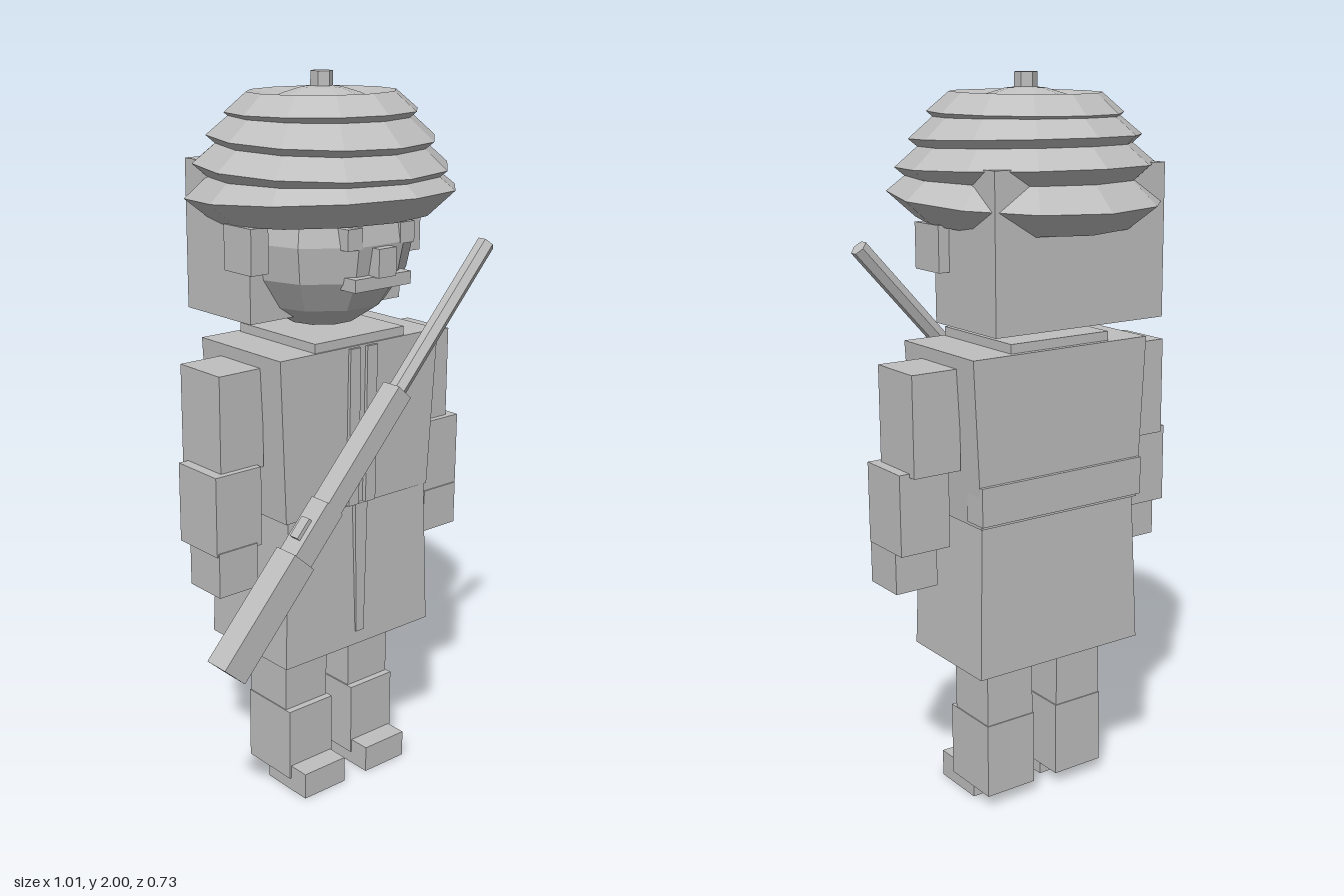
import * as THREE from 'three';

const CX = 0.065; // the body's centre line; the long gun shifts it off x = 0

export function createModel() {
  const group = new THREE.Group();
  group.name = 'soldierFigure';
  const grey = new THREE.MeshStandardMaterial({ color: 0xbfbfbf, flatShading: true });
  grey.name = 'plain grey';

  function add(name, geo, x = 0, y = 0, z = 0, parent = group) {
    const mesh = new THREE.Mesh(geo, grey);
    mesh.name = name;
    mesh.position.set(x, y, z);
    parent.add(mesh);
    return mesh;
  }
  // box from its limits; x is measured from the body's centre line
  function box(name, x0, x1, y0, y1, z0, z1, parent = group) {
    const geo = new THREE.BoxGeometry(x1 - x0, y1 - y0, z1 - z0);
    return add(name, geo, (x0 + x1) / 2, (y0 + y1) / 2, (z0 + z1) / 2, parent);
  }
  // narrows or widens the lower end of a box
  function taper(mesh, sx, sz) {
    const p = mesh.geometry.attributes.position;
    for (let i = 0; i < p.count; i++) {
      if (p.getY(i) < 0) p.setXYZ(i, p.getX(i) * sx, p.getY(i), p.getZ(i) * sz);
    }
    mesh.geometry.computeVertexNormals();
    return mesh;
  }

  const body = new THREE.Group();
  body.name = 'body';
  body.position.x = CX;
  group.add(body);

  // coat
  taper(box('coatTop', -0.28, 0.28, 0.855, 1.305, -0.165, 0.17, body), 0.92, 0.97);
  taper(box('coatSkirt', -0.25, 0.25, 0.435, 0.855, -0.15, 0.162, body), 1.06, 1.06);
  box('collar', -0.16, 0.155, 1.29, 1.33, -0.15, 0.165, body);
  box('backBelt', -0.262, 0.262, 0.865, 0.97, -0.172, -0.1, body);
  for (const s of [-1, 1]) {
    box('coatLapel', s * 0.03 - 0.018, s * 0.03 + 0.018, 0.86, 1.3, 0.15, 0.178, body);
  }
  taper(box('coatSeam', -0.022, 0.022, 0.475, 0.86, 0.15, 0.175, body), 0.65, 1);

  // limbs, mirrored about the centre line
  for (const s of [-1, 1]) {
    const side = s > 0 ? 'left' : 'right';
    const limb = (part, a, b, ...rest) =>
      box(side + part, s > 0 ? a : -b, s > 0 ? b : -a, ...rest, body);
    limb('UpperArm', 0.27, 0.41, 1.0, 1.27, -0.083, 0.085);
    limb('Forearm', 0.292, 0.44, 0.79, 1.01, -0.06, 0.103);
    limb('Hand', 0.31, 0.436, 0.675, 0.8, -0.022, 0.107);
    limb('Leg', 0.042, 0.192, 0.24, 0.44, -0.08, 0.08);
    limb('Boot', 0.038, 0.195, 0.037, 0.25, -0.083, 0.1);
    limb('Foot', 0.042, 0.19, 0, 0.077, 0, 0.163);
    limb('Ear', 0.24, 0.296, 1.51, 1.63, -0.038, 0.075);
    limb('Eye', 0.065, 0.115, 1.575, 1.63, 0.18, 0.238);
  }

  // head, hair and face
  add('head', new THREE.SphereGeometry(0.25, 10, 8), 0, 1.58, 0, body);
  box('hair', -0.265, 0.265, 1.372, 1.775, -0.245, 0.03, body);
  box('nose', -0.03, 0.03, 1.5, 1.575, 0.2, 0.262, body);
  box('moustache', -0.097, 0.097, 1.468, 1.502, 0.19, 0.247, body);

  // wound hat: flattened rings around a dome; outer radius, height, tilt
  const rings = [
    [0.365, 1.69, 0.06],
    [0.342, 1.765, -0.025],
    [0.305, 1.837, -0.03],
    [0.257, 1.9, 0.015],
  ];
  for (const [outer, y, tilt] of rings) {
    const tube = outer > 0.3 ? 0.11 : 0.085;
    const geo = new THREE.TorusGeometry(outer - tube, tube, 5, 12);
    geo.rotateX(Math.PI / 2);
    geo.scale(1, 0.62, 1);
    add('hatRing', geo, 0, y, 0, body).rotation.x = -tilt;
  }
  const dome = new THREE.SphereGeometry(0.27, 10, 8, 0, Math.PI * 2, 0, Math.PI / 2);
  add('hatDome', dome, 0, 1.695, 0, body);
  add('hatKnob', new THREE.CylinderGeometry(0.03, 0.03, 0.08, 6), 0, 1.96, 0, body);

  // long gun slung across the chest, built along its own x axis from the butt
  const gun = new THREE.Group();
  gun.name = 'gun';
  gun.position.set(-0.475, 0.557, 0.268);
  gun.rotation.z = Math.atan2(0.99, 0.895);
  group.add(gun);
  box('gunButt', 0, 0.34, -0.042, 0.042, -0.037, 0.037, gun);
  box('gunGrip', 0.32, 0.5, -0.034, 0.034, -0.032, 0.032, gun);
  box('gunStock', 0.48, 0.86, -0.029, 0.029, -0.03, 0.03, gun);
  box('gunTrigger', 0.38, 0.44, -0.045, 0.045, -0.015, 0.015, gun);
  const barrel = new THREE.CylinderGeometry(0.025, 0.025, 0.6, 6);
  barrel.rotateZ(-Math.PI / 2);
  add('gunBarrel', barrel, 1.035, 0, 0, gun);

  return group;
}
